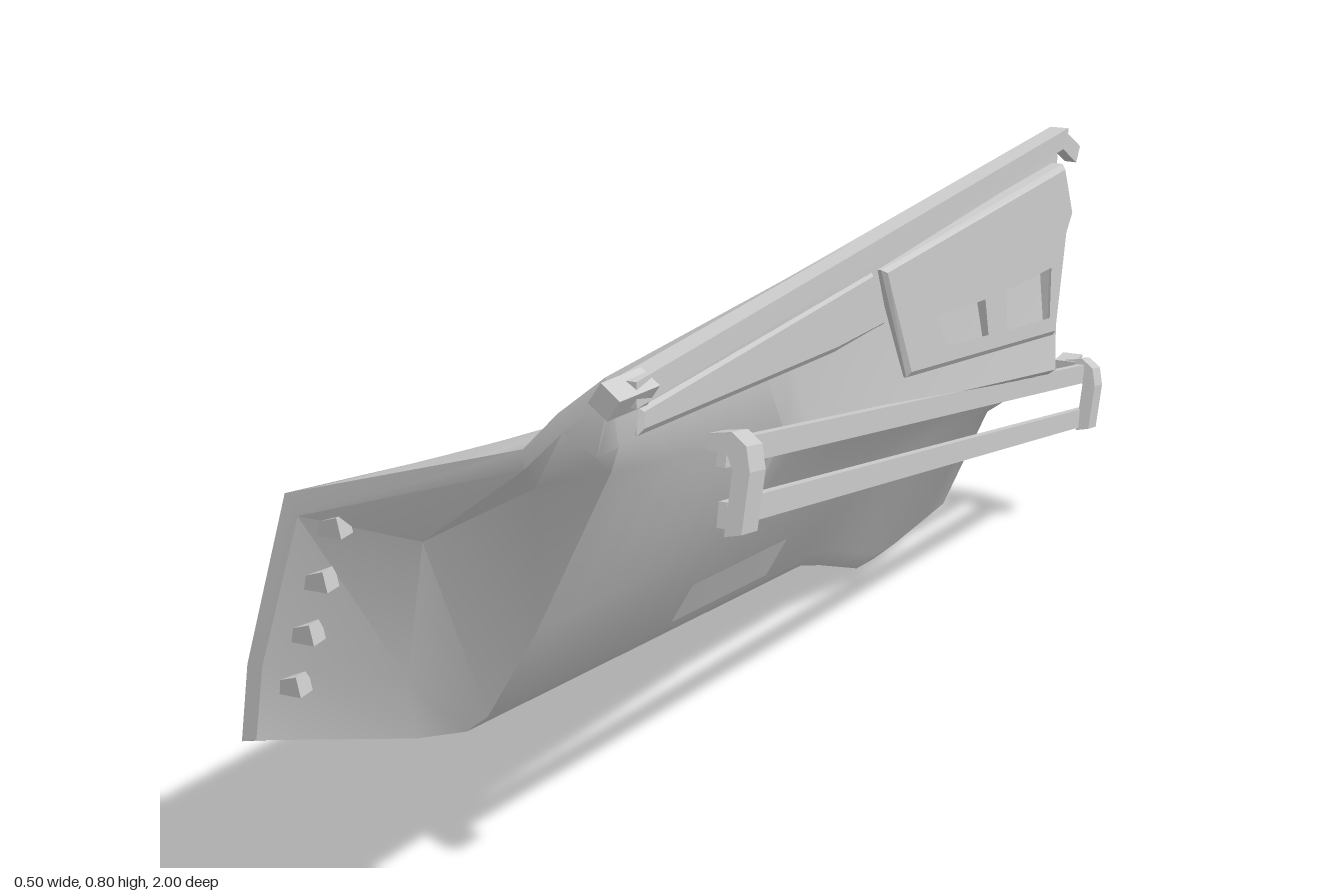
import * as THREE from 'three';
import { toCreasedNormals } from 'three/addons/utils/BufferGeometryUtils.js';

const grey = new THREE.MeshStandardMaterial({ color: 0xcccccc, side: THREE.DoubleSide });

function add(parent, name, geometry) {
  const mesh = new THREE.Mesh(geometry, grey);
  mesh.name = name;
  parent.add(mesh);
  return mesh;
}

// Joins rows of points into a surface with soft shading between shallow angles
function grid(rows, crease = 0.6) {
  const n = rows[0].length, index = [];
  for (let r = 0; r < rows.length - 1; r++) {
    for (let c = 0; c < n - 1; c++) {
      const a = r * n + c, b = a + n;
      index.push(a, a + 1, b, b, a + 1, b + 1);
    }
  }
  const g = new THREE.BufferGeometry();
  g.setAttribute('position', new THREE.Float32BufferAttribute(rows.flat(2), 3));
  g.setIndex(index);
  return toCreasedNormals(g, crease);
}

const lerp = THREE.MathUtils.lerp;
const mixPoint = (p, q, t) => p.map((v, k) => lerp(v, q[k], t));
const mix = (A, B, t) => A.map((p, i) => mixPoint(p, B[i], t));

// Flanks every inner corner of a section with two close points, so only the corner is rounded
const soften = row => row.flatMap((p, i) => i === 0 || i === row.length - 1 ? [p]
  : [mixPoint(p, row[i - 1], 0.14), p, mixPoint(p, row[i + 1], 0.14)]);

// Height of the lower edge along the length
function bottomY(z) {
  if (z > -0.25) return lerp(0.12, 0.32, (z + 0.25) / 1.25);
  if (z > -0.5) return lerp(0.02, 0.12, (z + 0.5) / 0.25);
  return Math.max(0, lerp(0, 0.02, (z + 0.93) / 0.43));
}

// Flat bar between two points
function beam(parent, name, a, b, w, h) {
  const A = new THREE.Vector3(...a), B = new THREE.Vector3(...b);
  const mesh = add(parent, name, new THREE.BoxGeometry(w, h, A.distanceTo(B)));
  mesh.position.copy(A).add(B).multiplyScalar(0.5);
  mesh.lookAt(B);
  return mesh;
}

// Side-facing plate from [z, y] corners, grown towards +x and leaning outwards to the rear
function plate(parent, name, points, x, depth, lean, holes = []) {
  const toV = ps => ps.map(([z, y]) => new THREE.Vector2(-z, y));
  const shape = new THREE.Shape(toV(points));
  holes.forEach(h => shape.holes.push(new THREE.Path(toV(h))));
  const g = new THREE.ExtrudeGeometry(shape, {
    depth, bevelEnabled: true, bevelThickness: 0.006, bevelSize: 0.008, bevelOffset: -0.008, bevelSegments: 1
  });
  g.rotateY(Math.PI / 2);
  const p = g.attributes.position;
  for (let i = 0; i < p.count; i++) p.setX(i, p.getX(i) + x - lean * p.getZ(i));
  g.computeVertexNormals();
  return add(parent, name, g);
}

export function createModel() {
  const model = new THREE.Group();
  model.name = 'sidePanel';

  // Cross-sections from lower edge to upper edge
  const outerFront = [[-0.25, 0.32, 1], [-0.235, 0.42, 1], [-0.17, 0.637, 1], [0.12, 0.72, 0.98], [0.155, 0.76, 0.965], [0.195, 0.795, 0.93]];
  const outerRear = [[-0.2, 0, -0.93], [-0.192, 0.08, -0.985], [-0.17, 0.25, -1], [0, 0.43, -0.96], [0.08, 0.61, -0.885], [0.2, 0.74, -0.73]];
  const innerFront = [[-0.06, 0.28, 0.81], [-0.03, 0.3, 0.81], [0.05, 0.44, 0.83], [0.17, 0.665, 0.87], [0.185, 0.7, 0.88], [0.192, 0.76, 0.9]];
  const innerRear = [[-0.04, 0.02, -0.8], [-0.01, 0.05, -0.82], [0.07, 0.22, -0.81], [0.23, 0.355, -0.67], [0.207, 0.6, -0.72], [0.205, 0.72, -0.72]];
  const rim = [[-0.23, 0.325, 1], [-0.215, 0.42, 1], [-0.155, 0.612, 1], [0.118, 0.695, 0.975], [0.155, 0.735, 0.955], [0.195, 0.775, 0.925]];
  const frontLip = [[-0.1, 0.29, 0.86], [-0.09, 0.38, 0.89], [-0.05, 0.565, 0.91], [0.09, 0.645, 0.9], [0.168, 0.69, 0.9], [0.192, 0.76, 0.91]];
  const rearBulge = [[-0.07, 0.01, -0.89], [-0.05, 0.06, -0.93], [-0.01, 0.23, -0.93], [0.12, 0.42, -0.82], [0.16, 0.62, -0.8], [0.205, 0.72, -0.74]];

  const steps = 20, outer = [], inner = [];
  for (let i = 0; i <= steps; i++) {
    const t = i / steps;
    const o = mix(outerFront, outerRear, t);
    const n = mix(innerFront, innerRear, t);
    o[0][1] = bottomY(o[0][2]);
    o[1][1] = Math.max(o[0][1] + 0.08, Math.min(o[1][1], o[0][1] + 0.1));
    o[0][0] = lerp(-0.25, -0.2, Math.min(1, t / 0.64));
    n[0][1] = bottomY(n[0][2]) - 0.005 + 0.01 * t;
    n[1][1] = n[0][1] + 0.025;
    outer.push(o);
    inner.push(n);
  }
  const last = a => a[a.length - 1];

  // Main shell
  const shell = new THREE.Group();
  shell.name = 'shell';
  model.add(shell);
  add(shell, 'outerSkin', grid(outer.map(soften), 1.1));
  add(shell, 'innerSkin', grid(inner));
  add(shell, 'frontEnd', grid([outer[0], rim, frontLip, inner[0]]));
  add(shell, 'rearEnd', grid([last(inner), rearBulge, last(outer)], 0.9));
  for (const [name, c] of [['lowerEdge', 0], ['upperEdge', 5]]) {
    add(shell, name, grid(outer.map((o, i) => [o[c], inner[i][c]])));
    add(shell, name + 'Front', grid([[outer[0][c], rim[c]], [inner[0][c], frontLip[c]]]));
    add(shell, name + 'Rear', grid([[last(outer)[c], rearBulge[c]], [last(inner)[c], rearBulge[c]]]));
  }

  // Access cover lying on the lower inner skin
  const cover = add(model, 'accessCover', grid(inner.slice(6, 11).map(n => [
    mixPoint(n[1], n[2], 0.1), mixPoint(n[1], n[2], 0.55)
  ])));
  cover.position.set(0.003, -0.002, 0);

  // Rail along the upper edge with a turned-down rear end
  beam(model, 'topRail', [0.207, 0.772, 0.91], [0.21, 0.735, -0.71], 0.03, 0.03);
  beam(model, 'topRailFrontEnd', [0.2, 0.772, 0.945], [0.212, 0.77, 0.87], 0.03, 0.03).rotateZ(0.6);
  beam(model, 'topRailRearEnd', [0.215, 0.735, -0.69], [0.222, 0.7, -0.75], 0.02, 0.028);

  // Inner trim: front wedge and a rear panel with two pockets
  plate(model, 'frontTrim', [[0.84, 0.735], [0.12, 0.715], [0.07, 0.625], [0.25, 0.635], [0.84, 0.7]], 0.192, 0.004, 0.01);
  plate(model, 'pocketPanel',
    [[0.1, 0.71], [-0.67, 0.7], [-0.72, 0.61], [-0.69, 0.58], [-0.65, 0.42], [0, 0.53]], 0.188, 0.018, 0.035,
    [
      [[-0.09, 0.6], [-0.31, 0.575], [-0.33, 0.5], [-0.14, 0.53]],
      [[-0.39, 0.565], [-0.62, 0.55], [-0.62, 0.45], [-0.4, 0.485]]
    ]);

  // Twin bars
  const bars = new THREE.Group();
  bars.name = 'barAssembly';
  model.add(bars);
  beam(bars, 'upperBar', [0.207, 0.622, 0.65], [0.207, 0.275, -0.92], 0.012, 0.032);
  beam(bars, 'lowerBar', [0.207, 0.545, 0.65], [0.207, 0.195, -0.92], 0.012, 0.032);

  // Hooked brackets holding the bars
  const hook = new THREE.Shape([
    [-0.045, 0.06], [-0.015, 0.065], [0.005, 0.05], [0.012, 0.02], [0.008, -0.055],
    [-0.014, -0.06], [-0.01, 0.02], [-0.02, 0.04], [-0.045, 0.04]
  ].map(p => new THREE.Vector2(...p)));
  for (const [name, x, y, z] of [['frontBracket', 0.235, 0.582, 0.64], ['rearBracket', 0.223, 0.235, -0.92]]) {
    const g = new THREE.ExtrudeGeometry(hook, { depth: 0.05, bevelEnabled: false }).translate(0, 0, -0.025);
    const bracket = add(bars, name, g);
    bracket.position.set(x, y, z);
    bracket.rotation.x = -0.22;
  }
  add(bars, 'rearHook', new THREE.BoxGeometry(0.035, 0.028, 0.05)).position.set(0.178, 0.284, -0.93);

  // Row of tapered clips on the front end
  for (let i = 0; i < 4; i++) {
    const g = new THREE.CylinderGeometry(0.01, 0.018, 0.04, 4, 1).rotateY(Math.PI / 4).toNonIndexed();
    g.computeVertexNormals();
    const clip = add(model, 'clip', g);
    clip.position.set(-0.13 - 0.022 * i, 0.595 - 0.068 * i, 0.975);
    clip.rotation.z = Math.PI / 2 + 0.2;
  }
  return model;
}
